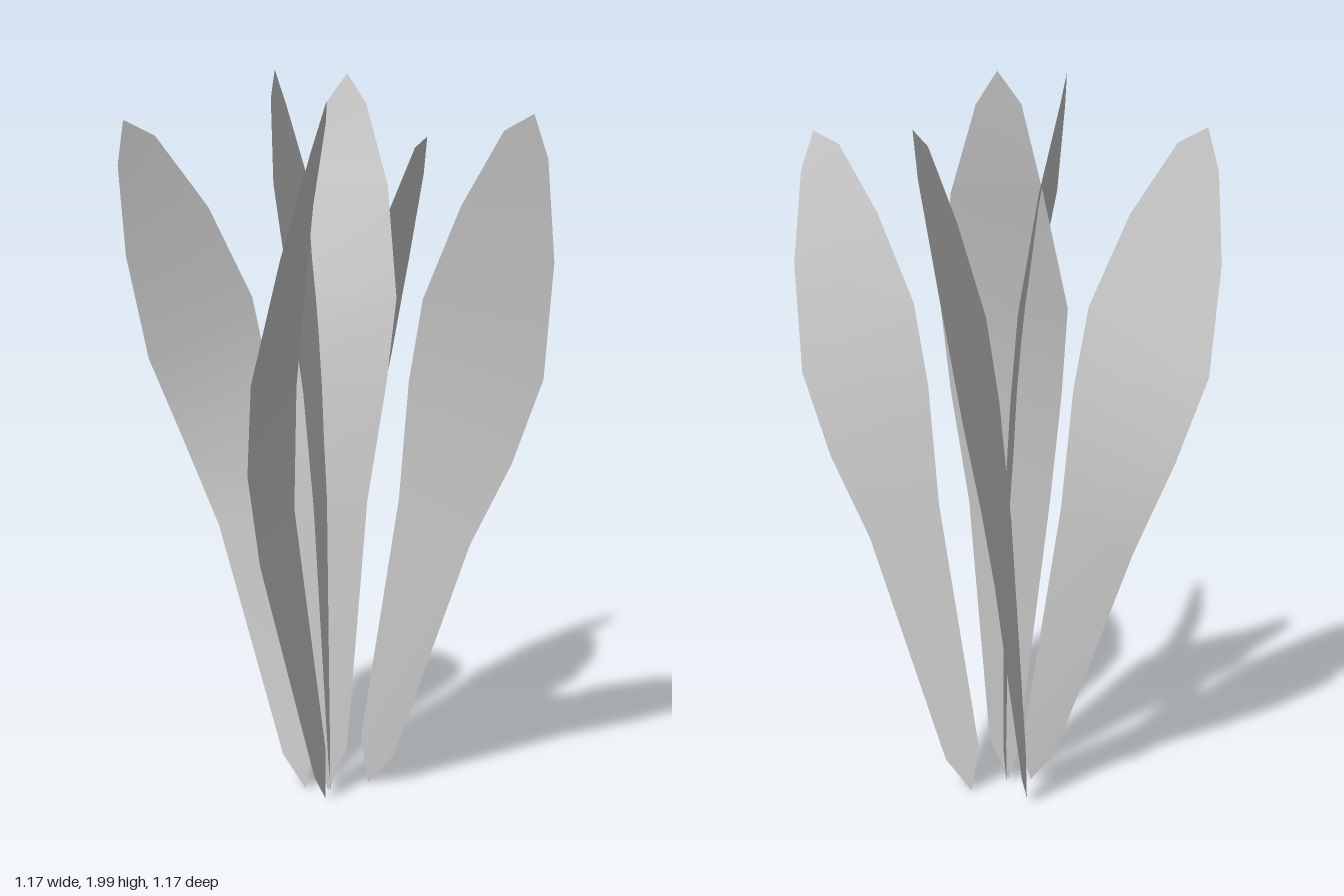
import * as THREE from 'three';

// Each leaf: base point, pairs of edge points going up, tip point
const leanLeaf = {
  base: [0.08, 0.01, -0.05],
  tip: [0.53, 1.857, 0.19],
  inner: [[0.06, 0.15, -0.045], [0.17, 0.85, -0.01], [0.2, 1.18, 0.02], [0.24, 1.4, 0.05], [0.345, 1.64, 0.11], [0.455, 1.82, 0.165]],
  outer: [[0.155, 0.1, -0.04], [0.37, 0.74, 0.02], [0.48, 0.97, 0.045], [0.56, 1.2, 0.08], [0.583, 1.5, 0.13], [0.565, 1.75, 0.175]],
};
const twistLeaf = {
  base: [-0.085, 0.01, 0.03],
  tip: [-0.545, 1.865, 0.14],
  inner: [[-0.065, 0.15, 0.025], [-0.167, 0.85, -0.035], [-0.197, 1.18, -0.02], [-0.235, 1.4, 0.01], [-0.34, 1.64, 0.06], [-0.465, 1.825, 0.12]],
  outer: [[-0.155, 0.1, 0.015], [-0.365, 0.74, -0.075], [-0.47, 0.99, -0.075], [-0.555, 1.22, -0.04], [-0.585, 1.51, 0.04], [-0.575, 1.75, 0.11]],
};
const uprightLeaf = {
  base: [-0.02, 0.01, 0.03],
  tip: [0, 2, -0.125],
  inner: [[-0.05, 0.11, 0.03], [-0.135, 0.85, 0.01], [-0.165, 1.16, -0.01], [-0.18, 1.4, -0.04], [-0.115, 1.7, -0.1], [-0.06, 1.92, -0.12]],
  outer: [[0.035, 0.14, 0.035], [0.09, 0.85, 0.03], [0.137, 1.17, 0.01], [0.16, 1.4, -0.01], [0.125, 1.7, -0.06], [0.055, 1.92, -0.11]],
};

// Thin smooth blade joining the two edges, closed by a point at each end
function bladeGeometry({ base, tip, inner, outer }) {
  const points = [base];
  inner.forEach((p, i) => points.push(p, outer[i]));
  points.push(tip);
  const index = [0, 2, 1];
  for (let i = 0; i < inner.length - 1; i++) {
    const a = 1 + i * 2;
    index.push(a, a + 1, a + 3, a, a + 3, a + 2);
  }
  const last = points.length - 1;
  index.push(last - 2, last - 1, last);
  const geometry = new THREE.BufferGeometry();
  geometry.setAttribute('position', new THREE.Float32BufferAttribute(points.flat(), 3));
  geometry.setIndex(index);
  geometry.computeVertexNormals();
  return geometry;
}

export function createModel() {
  const group = new THREE.Group();
  group.name = 'leafyPlant';
  const material = new THREE.MeshStandardMaterial({ color: 0xcccccc, side: THREE.DoubleSide });

  // Every leaf shape is used twice, the second time a quarter turn round
  const leaves = [
    [leanLeaf, 'leftLeaf', 'backLeaf', -0.03],
    [twistLeaf, 'rightLeaf', 'frontLeaf', -0.045],
    [uprightLeaf, 'uprightLeaf', 'crossedUprightLeaf', -0.045],
  ];
  for (const [shape, name, turnedName, shift] of leaves) {
    const leaf = new THREE.Mesh(bladeGeometry(shape), material);
    leaf.name = name;
    const turned = leaf.clone();
    turned.name = turnedName;
    turned.rotation.y = Math.PI / 2;
    turned.position.x = shift;
    group.add(leaf, turned);
  }
  return group;
}
